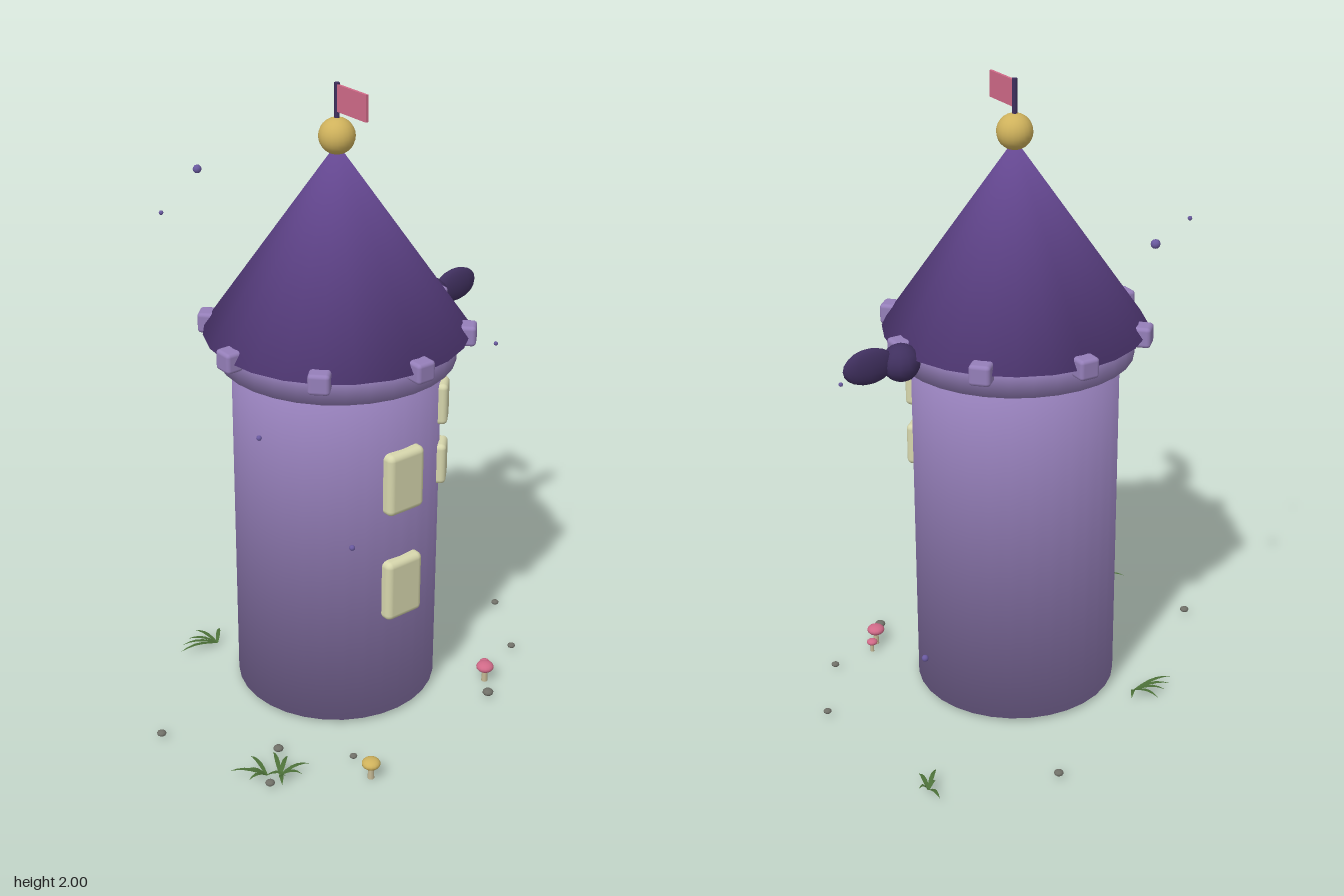
import * as THREE from 'three';
import { mergeVertices } from 'three/addons/utils/BufferGeometryUtils.js';
import { RoundedBoxGeometry } from 'three/addons/geometries/RoundedBoxGeometry.js';

const mat = (name, color, side = THREE.FrontSide) => {
  const m = new THREE.MeshStandardMaterial({ color, side });
  m.name = name;
  return m;
};

// Weld corners and average the face normals by corner angle, so shading rolls over the rims.
function softShade(geometry) {
  geometry.deleteAttribute('uv');
  geometry.deleteAttribute('normal');
  geometry.clearGroups();
  const g = mergeVertices(geometry, 1e-4);
  const pos = g.attributes.position;
  const sums = Array.from({ length: pos.count }, () => new THREE.Vector3());
  const tri = new THREE.Triangle();
  const n = new THREE.Vector3(), e1 = new THREE.Vector3(), e2 = new THREE.Vector3();
  for (let i = 0; i < g.index.count; i += 3) {
    const ids = [0, 1, 2].map((k) => g.index.getX(i + k));
    tri.setFromAttributeAndIndices(pos, ...ids);
    if (tri.getArea() < 1e-10) continue;
    tri.getNormal(n);
    const p = [tri.a, tri.b, tri.c];
    for (let k = 0; k < 3; k++) {
      e1.subVectors(p[(k + 1) % 3], p[k]);
      e2.subVectors(p[(k + 2) % 3], p[k]);
      sums[ids[k]].addScaledVector(n, e1.angleTo(e2));
    }
  }
  const normals = sums.flatMap((v) => v.normalize().toArray());
  g.setAttribute('normal', new THREE.Float32BufferAttribute(normals, 3));
  return g;
}

// Curved grass blade from a base point to a tip, both given as [x, z].
function bladeGeometry([bx, bz], [tx, tz]) {
  const dx = tx - bx, dz = tz - bz, len = Math.hypot(dx, dz);
  const verts = [], index = [], steps = 5;
  for (let i = 0; i <= steps; i++) {
    const t = i / steps;
    const half = 0.007 * Math.sin(Math.PI * (0.15 + 0.85 * t));
    const y = 0.012 + 0.022 * Math.sin(Math.PI * 0.8 * t);
    for (const s of [-1, 1]) {
      verts.push(bx + dx * t - (s * half * dz) / len, y, bz + dz * t + (s * half * dx) / len);
    }
    if (i < steps) {
      const a = i * 2;
      index.push(a, a + 1, a + 2, a + 1, a + 3, a + 2);
    }
  }
  const g = new THREE.BufferGeometry();
  g.setAttribute('position', new THREE.Float32BufferAttribute(verts, 3));
  g.setIndex(index);
  g.computeVertexNormals();
  return g;
}

export function createModel() {
  const model = new THREE.Group();
  model.name = 'wizardTower';
  const lilac = mat('lilac stone', 0x957fb9);
  const purple = mat('purple roof', 0x6b4c9a);
  const gold = mat('gold', 0xcfb25c);
  const cream = mat('window cream', 0xd6d6ac);
  const pink = mat('pink', 0xd06a88, THREE.DoubleSide);
  const dark = mat('dark violet', 0x40305f);
  const green = mat('grass green', 0x4c7038, THREE.DoubleSide);
  const grey = mat('pebble grey', 0x707068);
  const violet = mat('mote violet', 0x6a5aa0);
  const pale = mat('stem beige', 0xc4b894);

  const add = (name, geometry, material, x, y, z, parent = model) => {
    const m = new THREE.Mesh(geometry, material);
    m.name = name;
    m.position.set(x, y, z);
    parent.add(m);
    return m;
  };

  // Tower, standing slightly forward of the middle
  const tower = new THREE.Group();
  tower.name = 'tower';
  tower.position.set(0.003, 0, 0.02);
  model.add(tower);
  add('wall', softShade(new THREE.CylinderGeometry(0.323, 0.323, 1.16, 32)), lilac, 0, 0.592, 0, tower);
  add('collar', softShade(new THREE.CylinderGeometry(0.368, 0.368, 0.085, 32)), lilac, 0, 1.193, 0, tower);
  add('roof', softShade(new THREE.ConeGeometry(0.408, 0.585, 24)), purple, 0, 1.5275, 0, tower);

  // Blocks around the eaves
  const block = new RoundedBoxGeometry(0.066, 0.065, 0.06, 2, 0.012);
  for (let i = 0; i < 8; i++) {
    const a = (i * Math.PI) / 4;
    add('eaveBlock', block, lilac, 0.396 * Math.sin(a), 1.238, 0.396 * Math.cos(a), tower).rotation.y = a;
  }

  // Windows: two on the front, two smaller ones turned to the side
  const largeWindow = new RoundedBoxGeometry(0.138, 0.207, 0.052, 3, 0.02);
  const smallWindow = new RoundedBoxGeometry(0.086, 0.137, 0.042, 3, 0.016);
  for (const y of [0.847, 0.477]) add('largeWindow', largeWindow, cream, 0, y, 0.325, tower);
  for (const y of [1.009, 0.802]) {
    add('smallWindow', smallWindow, cream, 0.231, y, 0.231, tower).rotation.y = Math.PI / 4;
  }

  // Finial, pole and flag
  add('finial', new THREE.SphereGeometry(0.055, 20, 14), gold, 0, 1.842, 0, tower);
  add('flagPole', new THREE.CylinderGeometry(0.008, 0.008, 0.15, 8), dark, 0, 1.925, 0, tower);
  add('flag', new THREE.BoxGeometry(0.009, 0.08, 0.138), pink, 0, 1.955, 0.069, tower);

  // Dark bird perched on the eave
  add('birdBody', new THREE.SphereGeometry(0.058, 12, 10), dark, 0.423, 1.218, -0.03);
  add('birdTail', new THREE.SphereGeometry(1, 12, 10), dark, 0.528, 1.228, -0.03)
    .scale.set(0.084, 0.056, 0.022);

  // Floating motes: x, y, z, radius
  for (const [x, y, z, r] of [
    [-0.4, 1.6, -0.31, 0.007], [-0.137, 1.628, -0.508, 0.014], [-0.52, 1.152, 0.34, 0.008],
    [-0.24, 0.727, 0.407, 0.009], [0.44, 0.278, -0.167, 0.011], [0.525, 1.092, 0.175, 0.007],
  ]) add('mote', new THREE.IcosahedronGeometry(r, 1), violet, x, y, z);

  // Pebbles: x, z, radius
  const pebble = new THREE.SphereGeometry(1, 10, 8);
  for (const [x, z, r] of [
    [-0.676, 0, 0.015], [-0.432, 0.287, 0.016], [-0.552, 0.408, 0.015], [-0.272, 0.46, 0.012],
    [0.283, 0.465, 0.018], [0.527, 0.314, 0.013], [0.667, 0.08, 0.013], [0.208, -0.577, 0.015],
  ]) add('pebble', pebble, grey, x, 0.019, z).scale.set(r, r * 0.62, r);

  // Mushrooms: x, z, cap radius, cap height, cap colour
  for (const [x, z, r, h, m] of [
    [-0.281, 0.557, 0.029, 0.054, gold], [0.337, 0.389, 0.029, 0.054, pink], [0.371, 0.351, 0.018, 0.036, pink],
  ]) {
    const mushroom = new THREE.Group();
    mushroom.name = 'mushroom';
    mushroom.position.set(x, 0, z);
    model.add(mushroom);
    add('cap', new THREE.SphereGeometry(1, 14, 10), m, 0, h, 0, mushroom).scale.set(r, r * 0.58, r);
    add('stem', new THREE.CylinderGeometry(r * 0.28, r * 0.36, h, 8), pale, 0, h / 2, 0, mushroom);
  }

  // Grass tufts: a shared base and the blade tips
  const tufts = [
    [[-0.246, -0.318], [[-0.386, -0.331], [-0.357, -0.362], [-0.322, -0.382], [-0.276, -0.41], [-0.2, -0.37]]],
    [[0.582, -0.44], [[0.581, -0.51], [0.522, -0.378], [0.577, -0.37], [0.612, -0.436], [0.55, -0.43]]],
    [[-0.5, 0.39], [[-0.406, 0.413], [-0.46, 0.3], [-0.535, 0.447], [-0.437, 0.342], [-0.455, 0.44]]],
    [[-0.533, 0.365], [[-0.622, 0.294], [-0.528, 0.272], [-0.6, 0.366], [-0.585, 0.318], [-0.5, 0.42]]],
  ];
  for (const [base, tips] of tufts) {
    const tuft = new THREE.Group();
    tuft.name = 'grassTuft';
    model.add(tuft);
    for (const tip of tips) add('blade', bladeGeometry(base, tip), green, 0, 0, 0, tuft);
  }
  return model;
}
